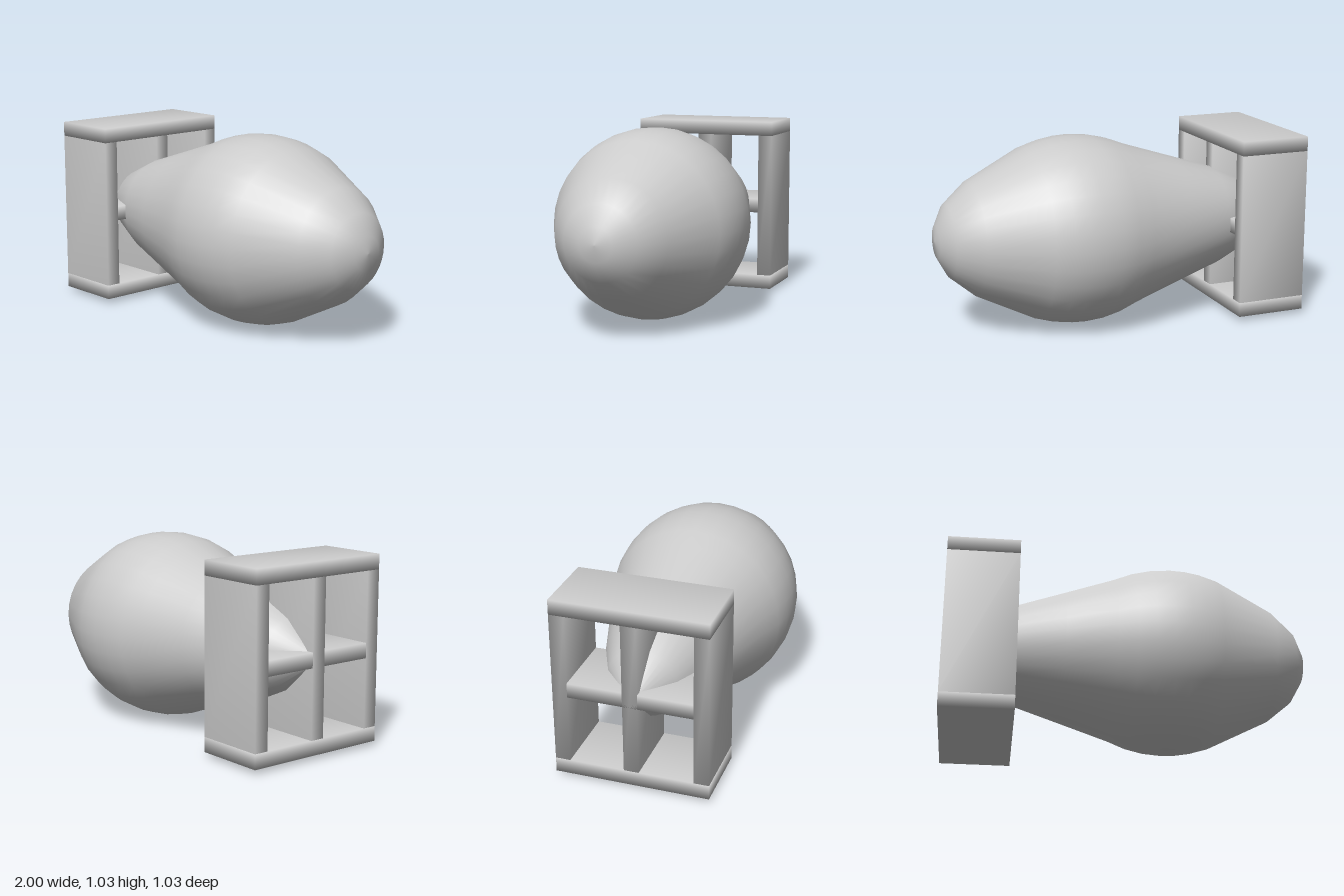
import * as THREE from 'three';
import { mergeVertices } from 'three/addons/utils/BufferGeometryUtils.js';

const CENTER_Y = 0.517;
const material = new THREE.MeshStandardMaterial({ color: 0xcccccc });

// Flat plate with soft-shaded (shared) corners
function plate(name, size, position) {
  let geometry = new THREE.BoxGeometry(...size);
  geometry.deleteAttribute('normal');
  geometry.deleteAttribute('uv');
  geometry = mergeVertices(geometry);
  geometry.computeVertexNormals();
  const mesh = new THREE.Mesh(geometry, material);
  mesh.name = name;
  mesh.position.set(...position);
  return mesh;
}

export function createModel() {
  const model = new THREE.Group();
  model.name = 'finnedBomb';

  // Body: radius along the length, from tail tip to nose
  const profile = [
    [0, -0.99], [0.05, -0.97], [0.19, -0.81], [0.28, -0.61], [0.363, -0.35],
    [0.45, -0.08], [0.488, 0.02], [0.51, 0.12], [0.517, 0.22], [0.513, 0.3],
    [0.5, 0.38], [0.47, 0.48], [0.31, 0.8], [0.2, 0.93], [0.09, 0.99], [0, 1],
  ].map(([r, x]) => new THREE.Vector2(r, x));
  const body = new THREE.Mesh(new THREE.LatheGeometry(profile, 32), material);
  body.name = 'body';
  body.rotation.z = -Math.PI / 2;
  body.position.y = CENTER_Y;
  model.add(body);

  // Square tail frame with a cross of inner fins
  const tail = new THREE.Group();
  tail.name = 'tailFrame';
  tail.position.set(-0.804, CENTER_Y + 0.002, 0);
  const depth = 0.392, thick = 0.08;
  for (const s of [1, -1]) {
    tail.add(plate(s > 0 ? 'topPlate' : 'bottomPlate', [depth, thick, 0.826], [0, s * 0.454, 0]));
    tail.add(plate(s > 0 ? 'frontPlate' : 'backPlate', [depth, 0.828, thick], [0, 0, s * 0.373]));
  }
  tail.add(plate('verticalFin', [depth, 0.828, thick], [0, 0, 0]));
  tail.add(plate('horizontalFin', [depth, thick, 0.666], [0, 0, 0]));
  model.add(tail);

  return model;
}
